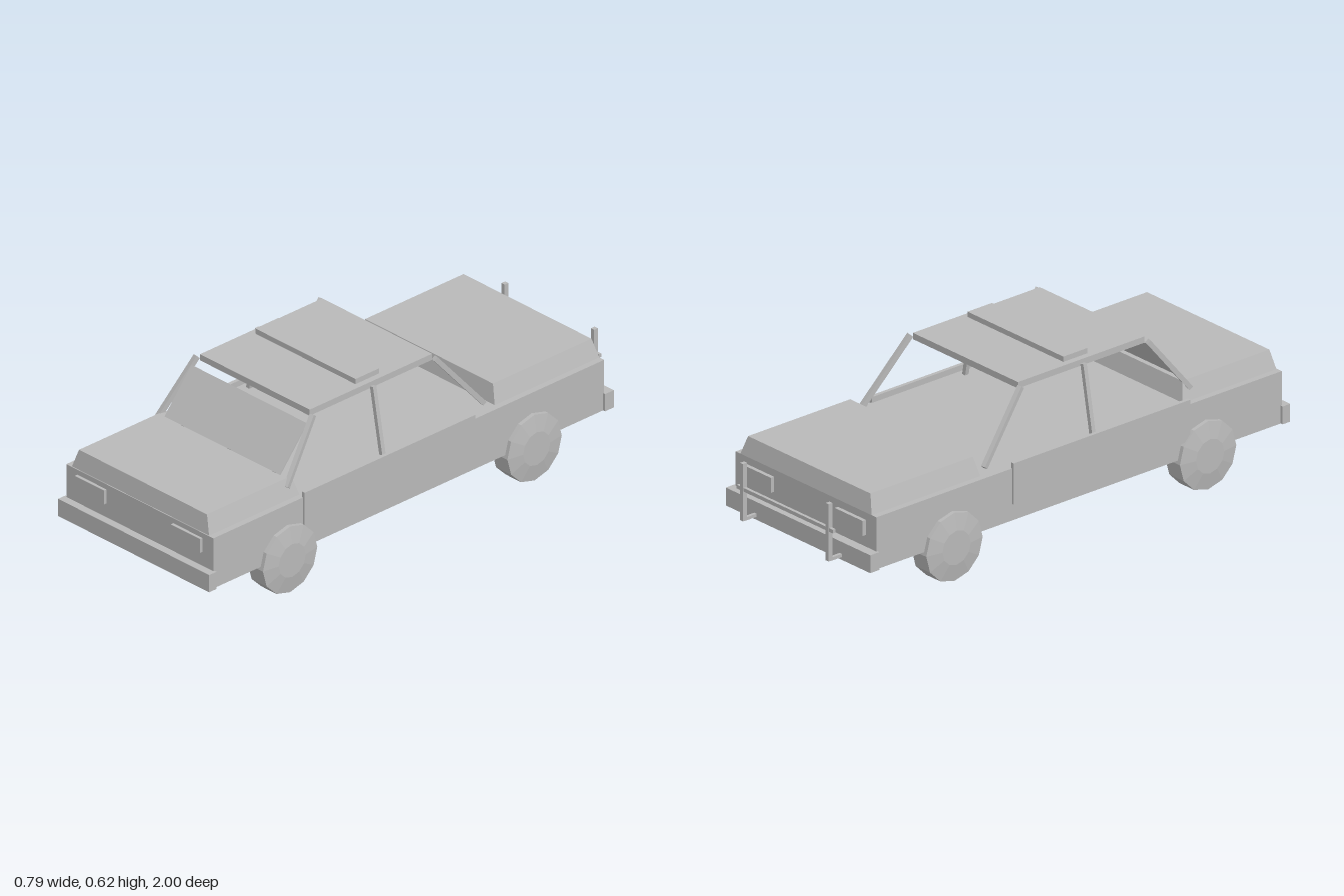
import * as THREE from 'three';

const paint = new THREE.MeshStandardMaterial({ color: 0xb8b8b8 });
paint.name = 'plain grey';

export function createModel() {
  const car = new THREE.Group();
  car.name = 'car';

  const add = (name, geometry) => {
    const mesh = new THREE.Mesh(geometry, paint);
    mesh.name = name;
    car.add(mesh);
    return mesh;
  };

  // Box given by its extents on each axis
  const box = (name, x0, x1, y0, y1, z0, z1) => {
    const mesh = add(name, new THREE.BoxGeometry(x1 - x0, y1 - y0, z1 - z0));
    mesh.position.set((x0 + x1) / 2, (y0 + y1) / 2, (z0 + z1) / 2);
    return mesh;
  };

  // Raised lid: a box whose top edges are drawn in
  const lid = (name, z0, z1, insetBack, insetFront) => {
    const mesh = box(name, -0.345, 0.345, 0.34, 0.41, z0, z1);
    const p = mesh.geometry.attributes.position;
    for (let i = 0; i < p.count; i++) {
      if (p.getY(i) < 0) continue;
      p.setX(i, p.getX(i) - Math.sign(p.getX(i)) * 0.023);
      p.setZ(i, p.getZ(i) + (p.getZ(i) < 0 ? insetBack : -insetFront));
    }
    mesh.geometry.computeVertexNormals();
  };

  // Square bar between two points
  const bar = (name, a, b, width) => {
    const from = new THREE.Vector3(...a);
    const to = new THREE.Vector3(...b);
    const mesh = add(name, new THREE.BoxGeometry(width, width, from.distanceTo(to)));
    mesh.position.copy(from).lerp(to, 0.5);
    mesh.lookAt(to);
  };

  // Body shell, lids and bumpers
  box('body', -0.37, 0.37, 0.142, 0.34, -0.9, 0.97);
  lid('hood', 0.535, 0.967, 0.018, 0.012);
  lid('trunk', -0.9, -0.4, 0.015, 0.014);
  box('frontBumper', -0.38, 0.38, 0.142, 0.21, 0.965, 1);
  box('rearBumper', -0.38, 0.38, 0.142, 0.21, -0.937, -0.895);
  box('skidPlate', -0.29, 0.29, 0.137, 0.145, 0.287, 0.485);

  // Roof and roof light bar
  box('roof', -0.276, 0.276, 0.58, 0.604, -0.165, 0.42);
  box('roofLightBar', -0.252, 0.252, 0.604, 0.624, 0.066, 0.178);

  // Sloped windshield, stopping short of the roof
  const rise = 0.155, run = 0.13;
  const glass = add('windshield', new THREE.BoxGeometry(0.58, Math.hypot(rise, run), 0.005));
  glass.position.set(0, 0.4875, 0.51);
  glass.rotation.x = -Math.atan2(run, rise);

  // Parts mirrored on both sides
  for (const s of [-1, 1]) {
    const side = (name, x0, x1, ...rest) => box(name, Math.min(s * x0, s * x1), Math.max(s * x0, s * x1), ...rest);
    side('doorPanel', 0.365, 0.379, 0.205, 0.362, -0.275, 0.542);
    side('headlight', 0.168, 0.315, 0.265, 0.32, 0.96, 0.982);
    side('taillight', 0.168, 0.315, 0.255, 0.312, -0.915, -0.89);

    bar('frontPillar', [s * 0.33, 0.38, 0.582], [s * 0.292, 0.59, 0.42], 0.018);
    bar('middlePillar', [s * 0.335, 0.34, 0.128], [s * 0.288, 0.592, 0.128], 0.016);
    bar('rearPillar', [s * 0.326, 0.355, -0.365], [s * 0.29, 0.592, -0.165], 0.018);

    // Rear guard uprights and mounts
    side('guardUpright', 0.217, 0.233, 0.155, 0.373, -1, -0.982);
    side('guardMount', 0.219, 0.231, 0.153, 0.165, -0.99, -0.93);

    // Twelve-sided wheels with raised hubs
    for (const z of [0.617, -0.553]) {
      const profile = [[0, -0.049], [0.065, -0.049], [0.13, -0.038], [0.13, 0.038], [0.065, 0.049], [0, 0.049]];
      const geometry = new THREE.LatheGeometry(profile.map((p) => new THREE.Vector2(...p)), 12).toNonIndexed();
      geometry.computeVertexNormals();
      const wheel = add('wheel', geometry);
      wheel.rotation.z = Math.PI / 2;
      wheel.position.set(s * 0.347, 0.13, z);
    }
  }
  box('guardCrossbar', -0.253, 0.253, 0.268, 0.282, -0.998, -0.986);

  return car;
}
